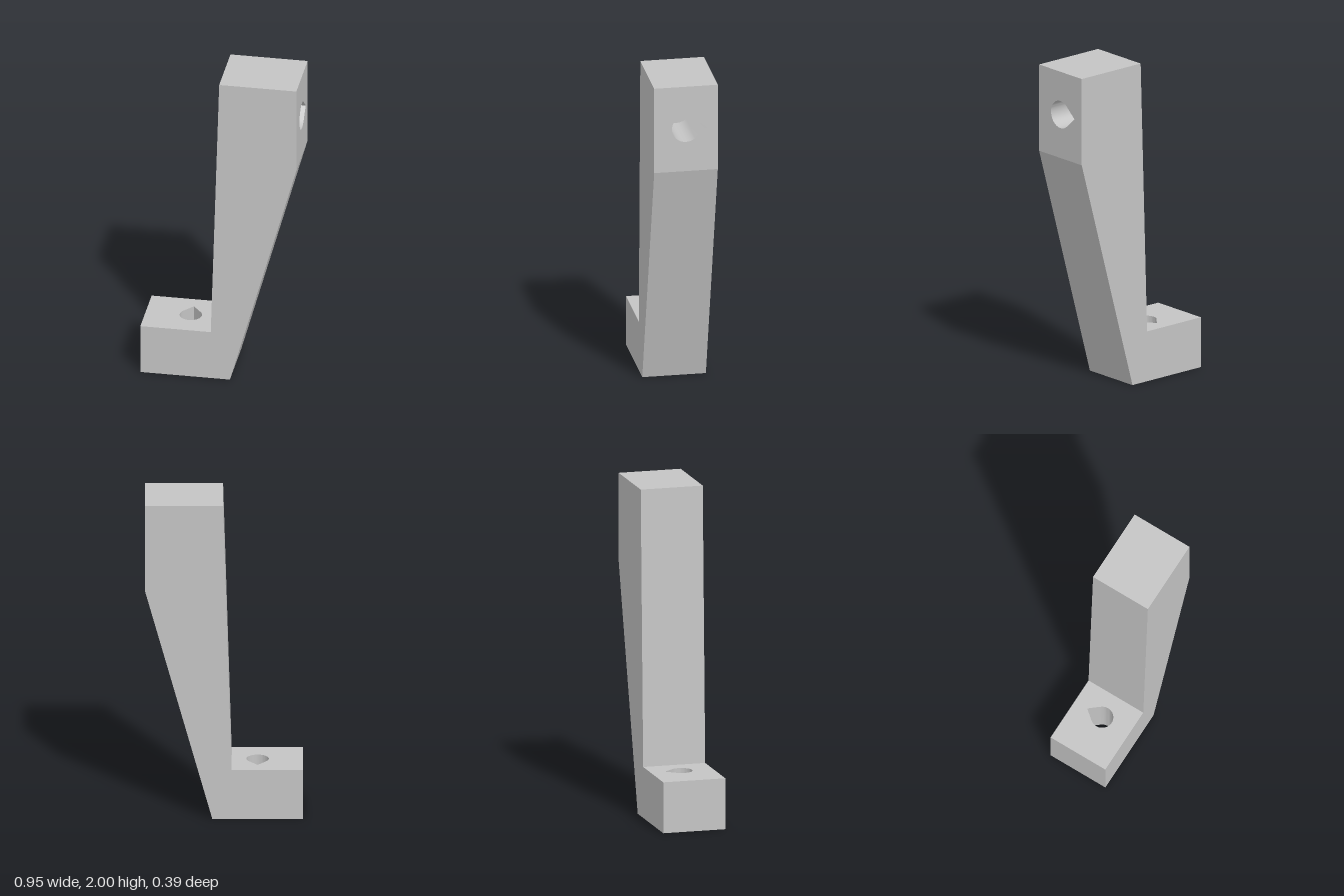
import * as THREE from 'three';
import { toCreasedNormals } from 'three/addons/utils/BufferGeometryUtils.js';

const HALF = 0.193; // half thickness in z

// Side profile, counter-clockwise from the toe of the foot
const PROFILE = [
  [-0.473, 0], [0.07, 0], [0.473, 1.46], [0.473, 2],
  [0.005, 2], [-0.046, 0.312], [-0.473, 0.312],
].map(([x, y]) => new THREE.Vector2(x, y));

// Names of the panels, one per profile edge; some carry a teardrop hole at distance u
const PANELS = [
  { name: 'footBottom', hole: { u: 0.272, r: 0.067, tip: 0.105 } },
  { name: 'armSlope' },
  { name: 'headFace', hole: { u: 0.272, r: 0.085, tip: 0.127, depth: 0.32, floor: true } },
  { name: 'headTop' },
  { name: 'armInner' },
  { name: 'footTop', hole: { u: 0.155, r: 0.067, tip: 0.105, depth: 0.312 } },
  { name: 'footToe' },
];

// Teardrop outline: a circle with tangents meeting at a tip towards -v
function teardrop({ u, r, tip }) {
  const a = Math.acos(r / tip), start = -Math.PI / 2 + a, sweep = 2 * (Math.PI - a);
  const pts = [new THREE.Vector2(u, -tip)];
  const n = 40;
  for (let i = 0; i <= n; i++) {
    const t = start + (sweep * i) / n;
    pts.push(new THREE.Vector2(u + r * Math.cos(t), r * Math.sin(t)));
  }
  return pts;
}

// Inward-facing wall of a hole, running from the panel down to -depth
function holeWall(pts, depth) {
  const pos = [];
  pts.forEach((p, i) => {
    const q = pts[(i + 1) % pts.length];
    pos.push(p.x, p.y, -depth, p.x, p.y, 0, q.x, q.y, 0);
    pos.push(p.x, p.y, -depth, q.x, q.y, 0, q.x, q.y, -depth);
  });
  const g = new THREE.BufferGeometry();
  g.setAttribute('position', new THREE.Float32BufferAttribute(pos, 3));
  return toCreasedNormals(g, 0.5);
}

export function createModel() {
  const model = new THREE.Group();
  model.name = 'bracket';
  const grey = new THREE.MeshStandardMaterial({ color: 0xc4c4c4 });
  grey.name = 'grey';

  const add = (name, geometry, parent) => {
    const mesh = new THREE.Mesh(geometry, grey);
    mesh.name = name;
    parent.add(mesh);
    return mesh;
  };

  // Front and back faces
  const side = new THREE.ShapeGeometry(new THREE.Shape(PROFILE));
  add('frontFace', side, model).position.z = HALF;
  const back = side.clone().scale(-1, 1, 1);
  const mirrored = new THREE.ShapeGeometry(
    new THREE.Shape(PROFILE.map((p) => new THREE.Vector2(-p.x, p.y)).reverse()));
  back.dispose();
  const backFace = add('backFace', mirrored, model);
  backFace.rotation.y = Math.PI;
  backFace.position.z = -HALF;

  // Edge panels: local x runs along the edge, local y along +z, local z outward
  PANELS.forEach(({ name, hole }, i) => {
    const p = PROFILE[i], q = PROFILE[(i + 1) % PROFILE.length];
    const len = p.distanceTo(q);
    const d = q.clone().sub(p).normalize();
    const group = new THREE.Group();
    group.name = name + 'Group';
    group.quaternion.setFromRotationMatrix(new THREE.Matrix4().makeBasis(
      new THREE.Vector3(d.x, d.y, 0), new THREE.Vector3(0, 0, 1), new THREE.Vector3(d.y, -d.x, 0)));
    group.position.set(p.x, p.y, 0);
    model.add(group);

    const shape = new THREE.Shape([[0, -HALF], [len, -HALF], [len, HALF], [0, HALF]]
      .map(([x, y]) => new THREE.Vector2(x, y)));
    if (hole) {
      const pts = teardrop(hole);
      shape.holes.push(new THREE.Path(pts));
      if (hole.depth) add(name + 'HoleWall', holeWall(pts, hole.depth), group);
      if (hole.floor) {
        add(name + 'HoleFloor', new THREE.ShapeGeometry(new THREE.Shape(pts)), group)
          .position.z = -hole.depth;
      }
    }
    add(name, new THREE.ShapeGeometry(shape), group);
  });

  return model;
}
